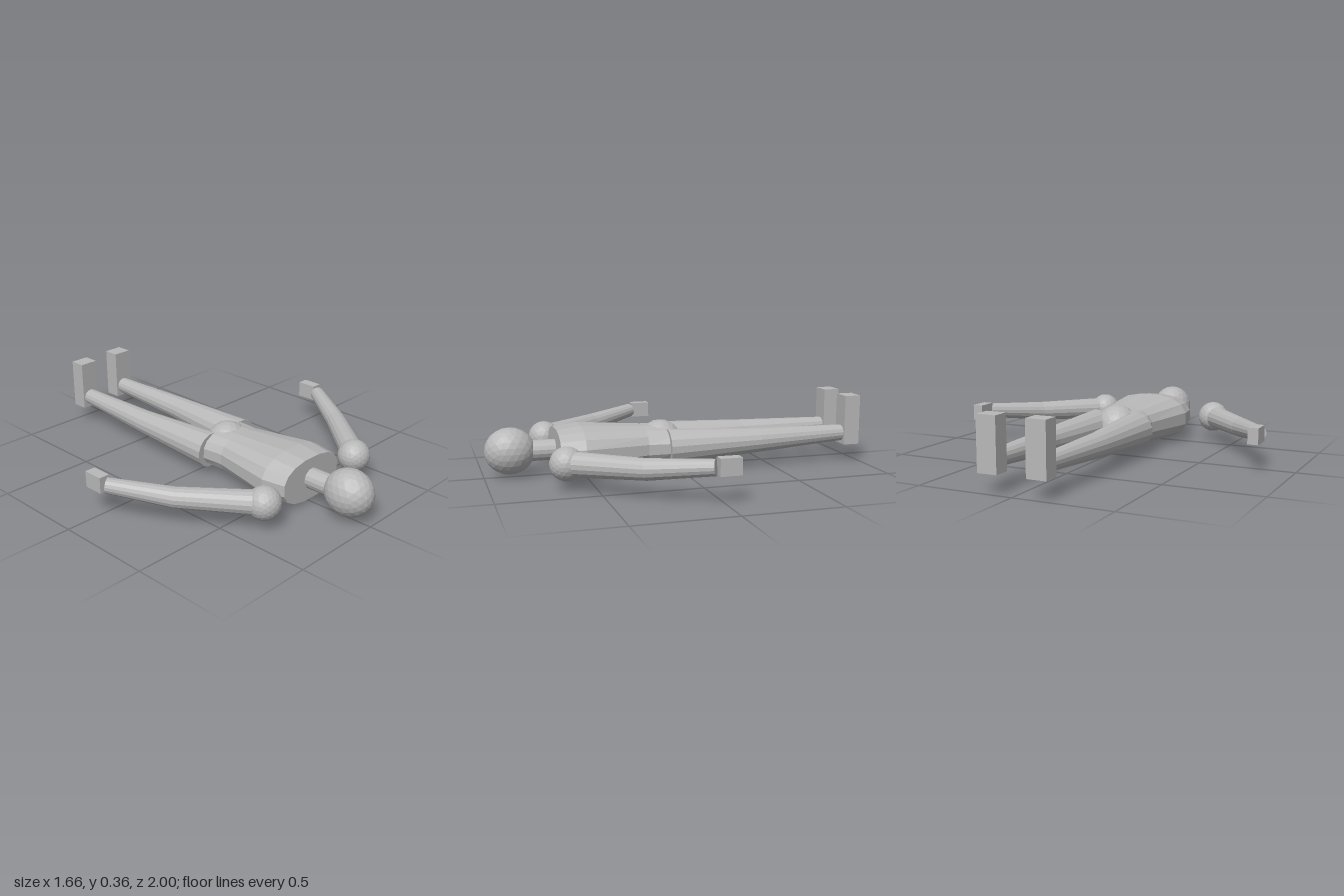
import * as THREE from 'three';

// Closed faceted tube through stations [x, y, z, halfWidth, halfHeight];
// power 2 gives an ellipse, higher values a squarer outline.
function loft(stations, sides, power = 2) {
  const centres = stations.map(s => new THREE.Vector3(s[0], s[1], s[2]));
  const last = centres.length - 1;
  const up = new THREE.Vector3(0, 1, 0);
  const squash = t => Math.sign(t) * Math.abs(t) ** (2 / power);
  const rings = centres.map((c, i) => {
    const dir = centres[Math.min(i + 1, last)].clone().sub(centres[Math.max(i - 1, 0)]).normalize();
    const u = up.clone().cross(dir).normalize();
    const v = dir.clone().cross(u);
    return Array.from({ length: sides }, (_, j) => {
      const a = (j + 0.5) / sides * Math.PI * 2;
      return c.clone()
        .addScaledVector(u, stations[i][3] * squash(Math.cos(a)))
        .addScaledVector(v, stations[i][4] * squash(Math.sin(a)));
    });
  });
  const points = [];
  for (let j = 0; j < sides; j++) {
    const k = (j + 1) % sides;
    for (let i = 0; i < last; i++) {
      const [a, b, c, d] = [rings[i][j], rings[i][k], rings[i + 1][k], rings[i + 1][j]];
      points.push(a, b, d, b, c, d);
    }
    points.push(centres[0], rings[0][k], rings[0][j]);
    points.push(centres[last], rings[last][j], rings[last][k]);
  }
  const geometry = new THREE.BufferGeometry().setFromPoints(points);
  geometry.computeVertexNormals();
  return geometry;
}

export function createModel() {
  const model = new THREE.Group();
  model.name = 'lyingMannequin';
  const grey = new THREE.MeshStandardMaterial({ color: 0xb8b8b8, flatShading: true });
  grey.name = 'plain grey';

  const add = (name, geometry, x = 0, y = 0, z = 0) => {
    const mesh = new THREE.Mesh(geometry, grey);
    mesh.name = name;
    mesh.position.set(x, y, z);
    model.add(mesh);
    return mesh;
  };
  const ball = (name, x, y, z, rx, ry, rz) =>
    add(name, new THREE.IcosahedronGeometry(1, 3).scale(rx, ry, rz), x, y, z);

  // Head, neck, trunk and pelvis along the z axis
  ball('head', 0, 0.14, 0.868, 0.109, 0.12, 0.128);
  add('neck', loft([[0, 0.135, 0.77, 0.053, 0.053], [0, 0.135, 0.62, 0.053, 0.053]], 16));
  add('torso', loft([
    [0, 0.135, 0.64, 0.207, 0.112],
    [0, 0.133, 0.515, 0.229, 0.129],
    [0, 0.133, 0.18, 0.162, 0.106],
    [0, 0.135, 0.05, 0.178, 0.1],
  ], 16, 2.4));
  ball('pelvis', 0, 0.133, 0.078, 0.118, 0.127, 0.118);

  for (const [side, s] of [['left', 1], ['right', -1]]) {
    // Leg tapering from hip to ankle, with an upright foot
    add(side + 'Leg', loft([
      [s * 0.115, 0.135, 0.068, 0.095, 0.093],
      [s * 0.132, 0.146, -0.43, 0.064, 0.064],
      [s * 0.126, 0.158, -0.92, 0.043, 0.043],
    ], 16));
    add(side + 'Foot', new THREE.BoxGeometry(0.102, 0.267, 0.087), s * 0.126, 0.232, -0.9565);

    // Shoulder ball, bent arm and hand
    ball(side + 'Shoulder', s * 0.348, 0.135, 0.64, 0.084, 0.084, 0.084);
    add(side + 'Arm', loft([
      [s * 0.384, 0.137, 0.6, 0.061, 0.061],
      [s * 0.617, 0.147, 0.318, 0.052, 0.052],
      [s * 0.796, 0.178, 0.045, 0.039, 0.039],
    ], 16));
    add(side + 'Hand', new THREE.BoxGeometry(0.055, 0.083, 0.106), s * 0.8, 0.182, -0.017);
  }
  return model;
}
